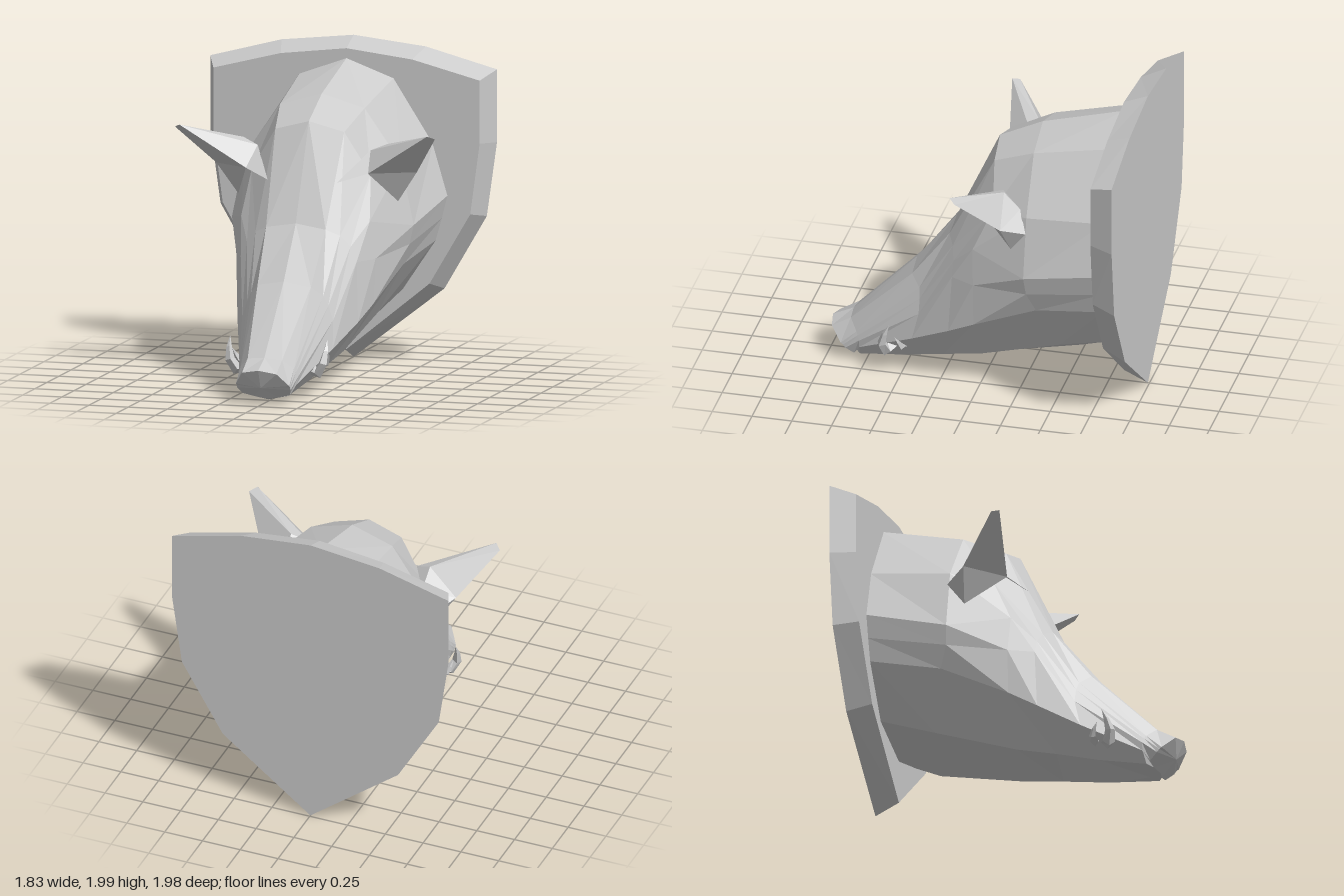
import * as THREE from 'three';

const material = new THREE.MeshStandardMaterial({ color: 0xcccccc, flatShading: true, side: THREE.DoubleSide });

function makeMesh(name, points, faces) {
  const geometry = new THREE.BufferGeometry();
  geometry.setAttribute('position', new THREE.Float32BufferAttribute(faces.flat().flatMap(i => points[i]), 3));
  geometry.computeVertexNormals();
  const mesh = new THREE.Mesh(geometry, material);
  mesh.name = name;
  return mesh;
}

// Half section (crown to base on +x) mirrored into a closed ring
const mirrorRing = half => [...half, ...half.slice(1, -1).reverse().map(([x, y, z]) => [-x, y, z])];

// Skin over rings running back to front, closed by a fan at each end
function loft(name, halves, backCentre, frontCentre) {
  const rings = halves.map(mirrorRing);
  const n = rings[0].length, last = (rings.length - 1) * n;
  const points = [...rings.flat(), backCentre, frontCentre];
  const back = rings.length * n, faces = [];
  for (let k = 0; k < n; k++) {
    const j = (k + 1) % n;
    for (let i = 0; i < last; i += n) {
      // Diagonals mirror across the middle
      if (k < n / 2) faces.push([i + k, i + n + k, i + n + j], [i + k, i + n + j, i + j]);
      else faces.push([i + k, i + n + k, i + j], [i + j, i + n + k, i + n + j]);
    }
    faces.push([back, k, j], [back + 1, last + j, last + k]);
  }
  return makeMesh(name, points, faces);
}

// Tapered, pointed horn along a curve
function tusk(name, side, path, radius) {
  const curve = new THREE.CatmullRomCurve3(path.map(([x, y, z]) => new THREE.Vector3(x * side, y, z)));
  const steps = 4, sides = 4;
  const geometry = new THREE.TubeGeometry(curve, steps, radius, sides, false);
  const pos = geometry.attributes.position, v = new THREE.Vector3();
  for (let i = 0; i < pos.count; i++) {
    const t = Math.floor(i / (sides + 1)) / steps;
    const c = curve.getPointAt(t);
    v.fromBufferAttribute(pos, i).sub(c).multiplyScalar(1 - t ** 2).add(c);
    pos.setXYZ(i, v.x, v.y, v.z);
  }
  geometry.computeVertexNormals();
  const mesh = new THREE.Mesh(geometry, material);
  mesh.name = name;
  return mesh;
}

function ear(name, side) {
  const points = [
    [0.79, 1.57, 0.06], [0.83, 1.55, 0.02],     // 0, 1 tip
    [0.46, 1.47, -0.20], [0.45, 1.36, -0.30],   // 2, 3 back
    [0.54, 1.24, -0.355], [0.51, 1.11, -0.255], // 4, 5 lower base
    [0.64, 1.30, -0.22], [0.39, 1.31, -0.02],   // 6 outer rim, 7 front base
    [0.36, 1.43, -0.17], [0.22, 1.26, 0.08],    // 8 fold, 9 root
  ].map(([x, y, z]) => [x * side, y, z]);
  const faces = [
    [0, 1, 2], [1, 6, 2], [6, 3, 2], [6, 4, 3], [6, 5, 4],
    [0, 2, 8], [0, 8, 7], [8, 9, 7], [2, 3, 8],
    [0, 7, 6], [0, 6, 1], [7, 5, 6],
  ];
  return makeMesh(name, points, side > 0 ? faces : faces.map(([a, b, c]) => [a, c, b]));
}

export function createModel() {
  const group = new THREE.Group();
  group.name = 'mountedBoarHead';

  // Shield-shaped wall plaque with bevelled rim
  const atZ = (pts, z) => pts.map(([x, y]) => [x, y, z]);
  const rim = [[0, 2], [0.46, 1.95], [0.915, 1.83], [0.915, 1.38], [0.85, 0.92], [0.58, 0.46], [0, 0.01]];
  const face = [[0, 1.94], [0.42, 1.89], [0.85, 1.78], [0.85, 1.39], [0.79, 0.95], [0.53, 0.51], [0, 0.08]];
  group.add(loft('plaque', [atZ(rim, -0.99), atZ(face, -0.84)], [0, 1.1, -0.99], [0, 1.1, -0.84]));

  // Neck and skull sections, crown to throat
  const skull = [
    atZ([[0, 1.88], [0.3, 1.77], [0.55, 1.38], [0.645, 1.06], [0.61, 0.92], [0.57, 0.78], [0.36, 0.47], [0, 0.36]], -0.845),
    [[0, 1.74, -0.33], [0.27, 1.66, -0.34], [0.5, 1.33, -0.35], [0.58, 0.95, -0.35],
      [0.55, 0.83, -0.36], [0.5, 0.7, -0.41], [0.3, 0.37, -0.51], [0, 0.22, -0.57]],
    [[0, 1.61, -0.06], [0.22, 1.55, -0.08], [0.38, 1.29, -0.11], [0.41, 1.02, 0.01],
      [0.445, 0.79, 0], [0.43, 0.51, 0], [0.24, 0.21, 0], [0, 0.11, -0.05]],
  ];

  // Snout sections ending in the nose disc
  const snout = [
    [[0, 1.02, 0.21], [0.19, 0.99, 0.21], [0.27, 0.95, 0.17], [0.33, 0.88, 0.15],
      [0.37, 0.79, 0.15], [0.385, 0.42, 0.17], [0.21, 0.16, 0.24], [0, 0.07, 0.22]],
    [[0, 0.7, 0.46], [0.17, 0.67, 0.45], [0.23, 0.61, 0.39], [0.26, 0.55, 0.38],
      [0.29, 0.46, 0.38], [0.3, 0.29, 0.42], [0.17, 0.1, 0.5], [0, 0.015, 0.55]],
    [[0, 0.29, 0.86], [0.11, 0.28, 0.85], [0.17, 0.22, 0.8], [0.18, 0.2, 0.79],
      [0.19, 0.17, 0.78], [0.18, 0.12, 0.78], [0.13, 0.05, 0.79], [0, 0.02, 0.77]],
    [[0, 0.23, 0.99], [0.11, 0.21, 0.97], [0.17, 0.13, 0.9], [0.17, 0.12, 0.885],
      [0.17, 0.1, 0.87], [0.15, 0.06, 0.82], [0.08, 0.045, 0.82], [0, 0.035, 0.84]],
  ];
  group.add(loft('head', [...skull, ...snout], [0, 1.1, -0.845], [0, 0.115, 0.94]));

  // Ears and two pairs of tusks
  for (const [label, side] of [['left', 1], ['right', -1]]) {
    group.add(
      ear(label + 'Ear', side),
      tusk(label + 'LowerTusk', side, [[0.2, 0.19, 0.56], [0.26, 0.17, 0.59], [0.3, 0.24, 0.61], [0.31, 0.37, 0.56]], 0.04),
      tusk(label + 'UpperTusk', side, [[0.2, 0.22, 0.5], [0.25, 0.19, 0.49], [0.28, 0.22, 0.49], [0.31, 0.29, 0.53]], 0.03),
    );
  }
  return group;
}
